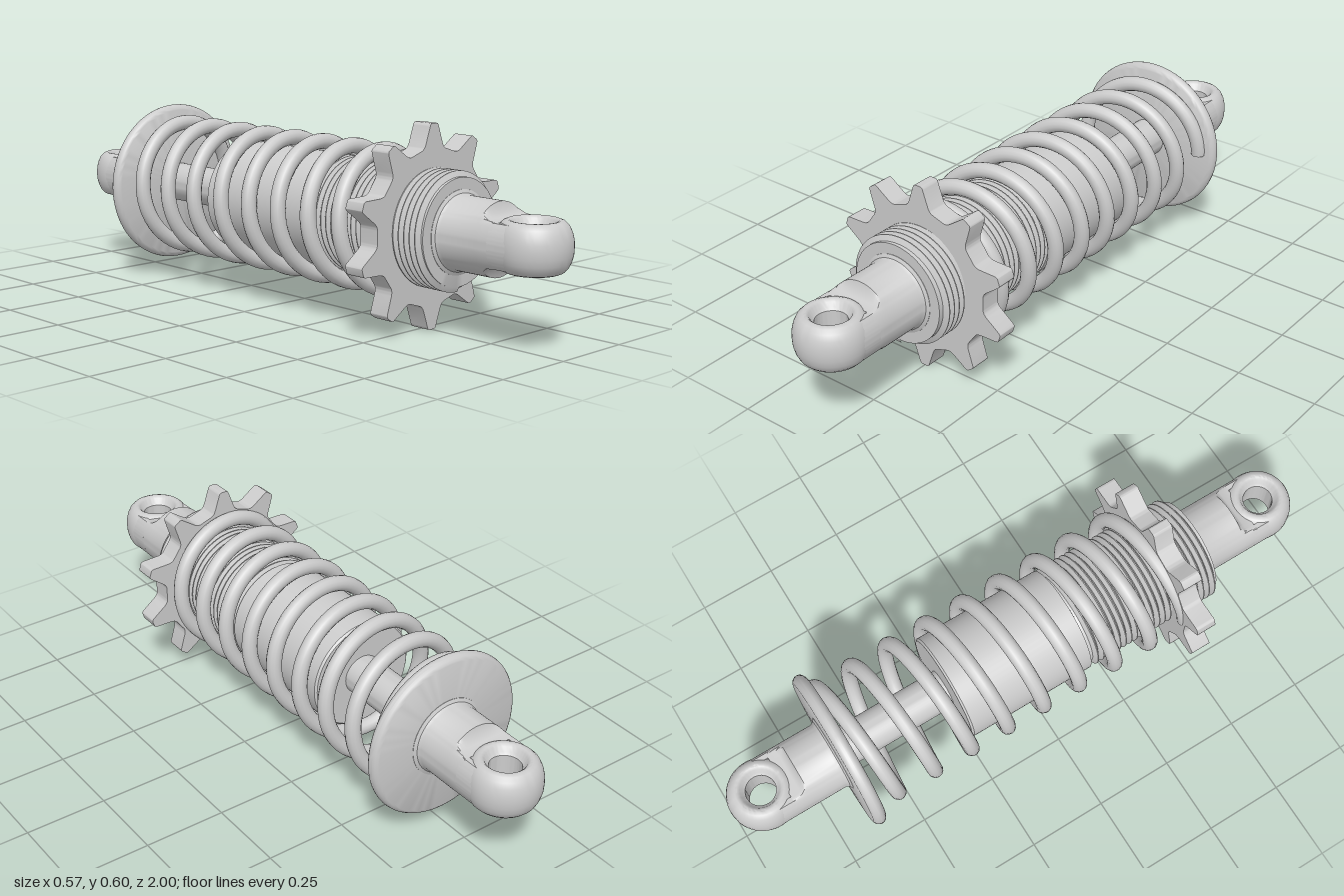
import * as THREE from 'three';
import { toCreasedNormals } from 'three/addons/utils/BufferGeometryUtils.js';

const material = new THREE.MeshStandardMaterial({ color: 0xcccccc });
const AXIS_Y = 0.298;

function mesh(name, geometry, crease = 0.6) {
  const m = new THREE.Mesh(crease ? toCreasedNormals(geometry, crease) : geometry, material);
  m.name = name;
  return m;
}

// Turned shape from [radius, height] pairs, low to high
function lathe(profile, segments = 64) {
  return new THREE.LatheGeometry(profile.map(([r, h]) => new THREE.Vector2(r, h)), segments);
}

// Turned shape lying along z
const turned = (profile, segments) => lathe(profile, segments).rotateX(Math.PI / 2);

// Mounting end pointing to +z: round neck, flattened tang, rounded eye
function mountingEnd(name, base) {
  const end = new THREE.Group();
  end.name = name;
  const eyeZ = 0.892;

  // Neck whose sides are pressed flat towards the eye
  const flats = [[0.774, 0.107], [0.782, 0.078], [0.795, 0.067], [0.826, 0.063]];
  const neck = turned([
    [0.124, base - 0.01], [0.122, base + 0.001], [0.112, base + 0.006], [0.107, base + 0.016],
    ...flats.map(([z]) => [0.107, z]),
  ], 72);
  const p = neck.attributes.position;
  for (let i = 0; i < p.count; i++) {
    const flat = flats.find(([z]) => Math.abs(z - p.getZ(i)) < 1e-4);
    if (flat) p.setY(i, THREE.MathUtils.clamp(p.getY(i), -flat[1], flat[1]));
  }
  end.add(mesh('neck', neck));

  // Side rails joining the tang to the widest part of the eye
  const rail = new THREE.Shape();
  rail.moveTo(0.07, -0.063);
  rail.lineTo(0.086, -0.063);
  rail.quadraticCurveTo(0.107, -0.035, 0.107, 0);
  rail.quadraticCurveTo(0.107, 0.035, 0.086, 0.063);
  rail.lineTo(0.07, 0.063);
  for (const turn of [0, Math.PI]) {
    const geometry = new THREE.ExtrudeGeometry(rail, { depth: eyeZ - 0.815, bevelEnabled: false });
    geometry.translate(0, 0, -(eyeZ - 0.815) / 2).rotateZ(turn).translate(0, 0, (eyeZ + 0.815) / 2);
    end.add(mesh('tangSide', geometry));
  }

  // Eye ring with bulging outside and countersunk hole
  const half = [[0.108, 0], [0.107, 0.02], [0.102, 0.04], [0.094, 0.057], [0.083, 0.068], [0.073, 0.072],
    [0.066, 0.071], [0.059, 0.065], [0.053, 0.052], [0.046, 0.045]];
  const lower = half.slice(1).reverse().map(([r, h]) => [r, -h]);
  const eye = lathe([[0.046, 0.045], ...lower, ...half]);
  eye.translate(0, 0, eyeZ);
  end.add(mesh('eye', eye));
  return end;
}

// Helical thread: a zigzag profile that climbs one pitch per turn
function threadGeometry(z0, z1, pitch) {
  const profile = [[0.15, z0 - 0.005]];
  const count = Math.round((z1 - z0) / pitch) - 1;
  for (let i = 0; i < count; i++) {
    const z = z0 + i * pitch;
    profile.push([0.156, z], [0.172, z + pitch * 0.45], [0.172, z + pitch * 0.6]);
  }
  profile.push([0.156, z0 + count * pitch], [0.156, z1], [0, z1]);
  const geometry = turned(profile, 72);
  const p = geometry.attributes.position;
  const uv = geometry.attributes.uv;
  const last = profile.length - 1;
  for (let i = 0; i < p.count; i++) {
    const row = Math.round(uv.getY(i) * last);
    if (row > 0 && row < last - 1) p.setZ(i, p.getZ(i) + pitch * uv.getX(i));
  }
  return geometry;
}

// Ten-toothed adjuster ring
function adjusterGeometry() {
  const shape = new THREE.Shape();
  const teeth = 10;
  // One tooth: x across, y outward, curved at the roots
  for (let i = 0; i < teeth; i++) {
    const a = -i * Math.PI * 2 / teeth;
    const at = (x, y) => [x * Math.cos(a) - y * Math.sin(a), x * Math.sin(a) + y * Math.cos(a)];
    if (i === 0) shape.moveTo(...at(-0.052, 0.222));
    else shape.lineTo(...at(-0.052, 0.222));
    shape.quadraticCurveTo(...at(-0.041, 0.225), ...at(-0.035, 0.24));
    shape.lineTo(...at(-0.018, 0.289));
    shape.quadraticCurveTo(...at(-0.015, 0.298), ...at(-0.009, 0.298));
    shape.lineTo(...at(0.009, 0.298));
    shape.quadraticCurveTo(...at(0.015, 0.298), ...at(0.018, 0.289));
    shape.lineTo(...at(0.035, 0.24));
    shape.quadraticCurveTo(...at(0.041, 0.225), ...at(0.052, 0.222));
  }
  const hole = new THREE.Path();
  hole.absarc(0, 0, 0.16, 0, Math.PI * 2);
  shape.holes.push(hole);
  const geometry = new THREE.ExtrudeGeometry(shape, { depth: 0.065, bevelEnabled: false, curveSegments: 6 });
  return geometry.translate(0, 0, 0.465);
}

// Coil spring path
class Helix extends THREE.Curve {
  getPoint(t, target = new THREE.Vector3()) {
    const turns = 8.5 * t;
    const a = turns * Math.PI * 2;
    return target.set(0.201 * Math.cos(a), 0.201 * Math.sin(a), -0.612 + 0.129 * turns);
  }
}

export function createModel() {
  const model = new THREE.Group();
  model.name = 'coilShockAbsorber';
  const body = new THREE.Group();
  body.name = 'assembly';
  body.position.y = AXIS_Y;
  model.add(body);

  body.add(mesh('cylinderBody', turned([
    [0, -0.265], [0.166, -0.265], [0.172, -0.259], [0.172, 0.16], [0.15, 0.165],
  ])));
  body.add(mesh('threadedBody', threadGeometry(0.16, 0.632, 0.0205), 0.5));
  body.add(mesh('pistonRod', turned([[0.062, -0.63], [0.062, -0.25]], 48)));

  // Spring seat with rounded rim
  const seat = [[0, -0.652], [0.24, -0.652]];
  for (let i = 1; i < 8; i++) {
    const a = -Math.PI / 2 + i * Math.PI / 8;
    seat.push([0.236 + 0.021 * Math.cos(a), -0.631 + 0.021 * Math.sin(a)]);
  }
  seat.push([0.24, -0.61], [0, -0.61]);
  body.add(mesh('springSeat', turned(seat, 80)));

  body.add(mesh('adjusterRing', adjusterGeometry(), 0.5));
  body.add(mesh('coilSpring', new THREE.TubeGeometry(new Helix(), 500, 0.024, 14), 0));

  body.add(mountingEnd('frontMount', 0.632));
  const rear = mountingEnd('rearMount', 0.652);
  rear.rotation.y = Math.PI;
  body.add(rear);
  return model;
}
